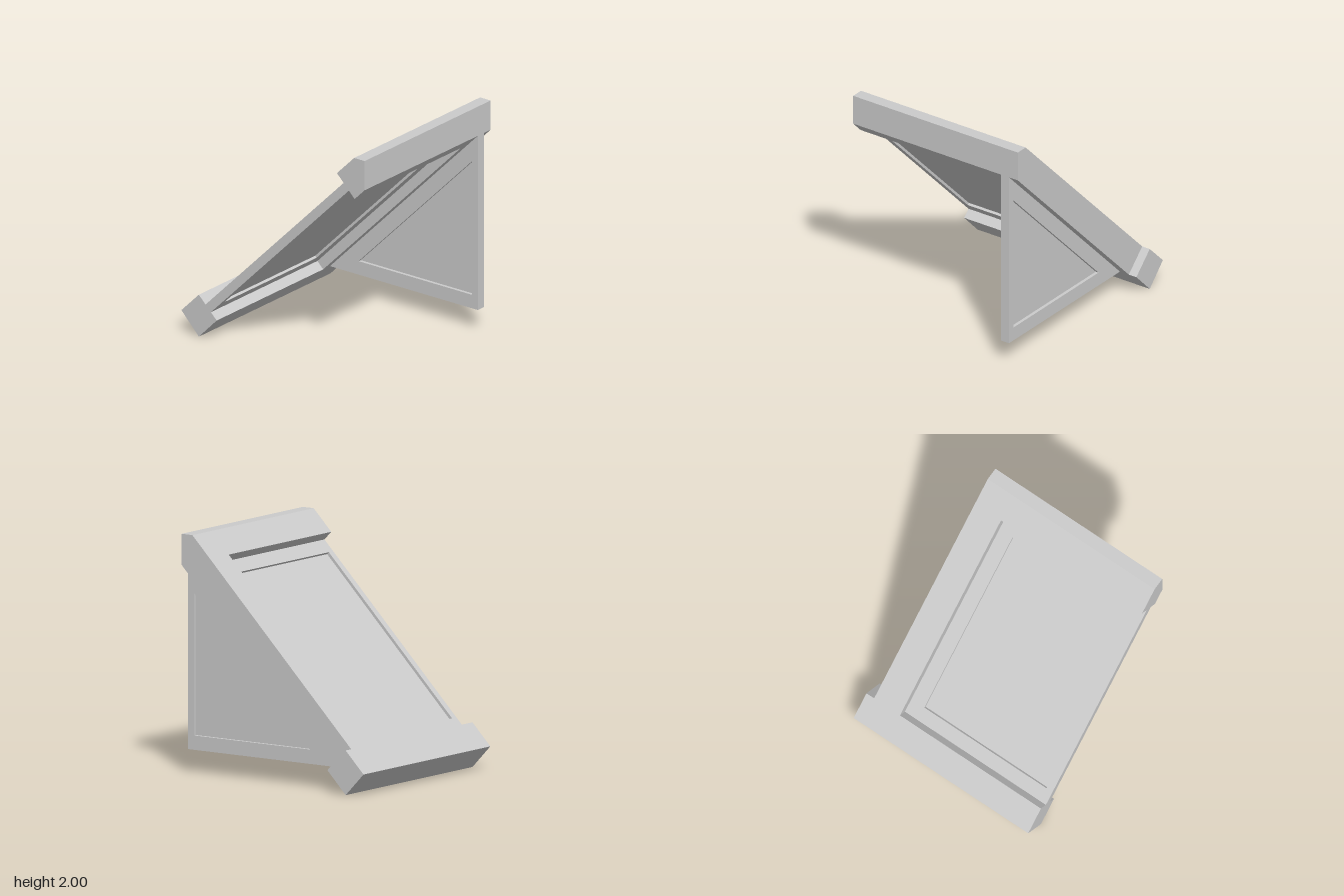
import * as THREE from 'three';

const material = new THREE.MeshStandardMaterial({ color: 0xcccccc, flatShading: true });

function addMesh(group, name, geometry) {
  const mesh = new THREE.Mesh(geometry, material);
  mesh.name = name;
  group.add(mesh);
  return mesh;
}

const vectors = (points) => points.map(([a, b]) => new THREE.Vector2(a, b));

// Extrude a side profile of [z, y] points from x0 to x1, with an optional hole.
function prism(profile, x0, x1, hole) {
  const flip = (points) => vectors(points.map(([z, y]) => [-z, y]));
  const shape = new THREE.Shape(flip(profile));
  if (hole) shape.holes.push(new THREE.Path(flip(hole)));
  return new THREE.ExtrudeGeometry(shape, { depth: x1 - x0, bevelEnabled: false })
    .rotateY(Math.PI / 2)
    .translate(x0, 0, 0);
}

// Extrude a rectangle lying in the 45 degree slope.
// s = y + z runs up the slope, d = y - z runs through its thickness.
function slopedPlate([x0, x1, s0, s1], d0, d1, hole) {
  const k = Math.SQRT1_2;
  const corners = (a, b, s, t) => vectors([[a, s * k], [b, s * k], [b, t * k], [a, t * k]]);
  const shape = new THREE.Shape(corners(x0, x1, s0, s1));
  if (hole) shape.holes.push(new THREE.Path(corners(...hole)));
  return new THREE.ExtrudeGeometry(shape, { depth: (d1 - d0) * k, bevelEnabled: false })
    .translate(0, 0, -d1 * k)
    .rotateX(Math.PI / 4);
}

export function createModel() {
  const group = new THREE.Group();
  const left = 0.8, right = -0.88, inner = 0.54;

  // Thick sloping border: a full-length stile and a rail across the top
  addMesh(group, 'sideStile', prism(
    [[0.96, 1.74], [0.96, 2], [0.85, 2], [-0.78, 0.37], [-0.59, 0.19]], inner, left));
  addMesh(group, 'topRail', prism(
    [[0.96, 1.74], [0.96, 2], [0.85, 2], [0.67, 1.82], [0.855, 1.635]], right, inner));

  // Square bar along the foot of the slope
  addMesh(group, 'footBar', prism(
    [[-0.59, 0.19], [-0.777, 0.373], [-0.96, 0.19], [-0.777, 0]], right, 0.877));

  // Thinner panel set between the border faces, with a recessed centre on both sides
  const opening = [-0.82, 0.41, -0.215, 2.31];
  addMesh(group, 'panelFrame', slopedPlate([right, inner, -0.405, 2.49], 0.9, 1.01, opening));
  addMesh(group, 'panelCentre', slopedPlate(opening, 0.93, 0.975));

  // Triangular support with a recessed face on both sides
  const cutout = [[0.9, 1.5], [0.9, 0.31], [-0.29, 0.31]];
  addMesh(group, 'supportFrame', prism(
    [[0.96, 1.74], [0.96, 0.19], [-0.59, 0.19]], 0.63, 0.71, cutout));
  addMesh(group, 'supportCentre', prism(cutout, 0.658, 0.682));

  return group;
}
